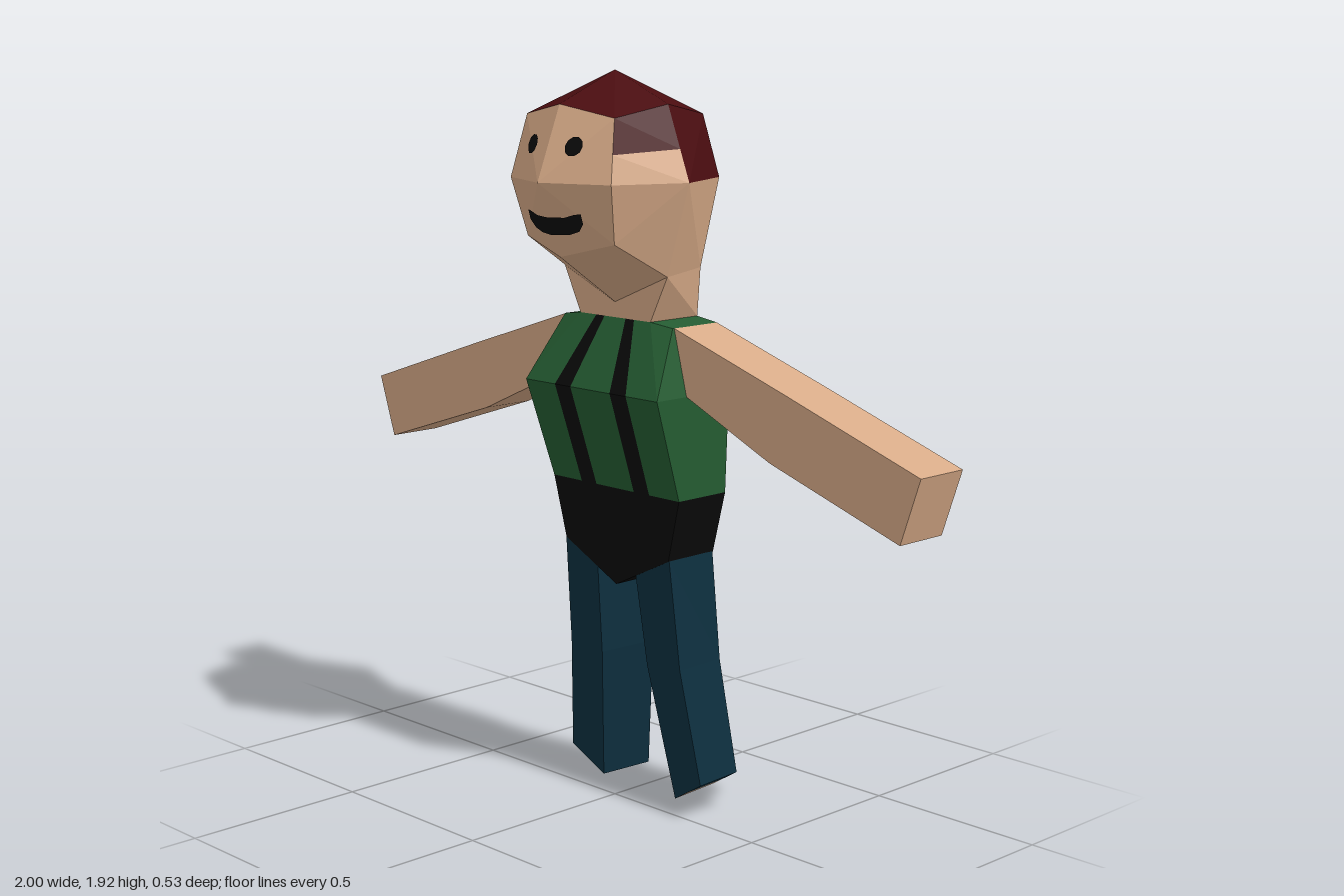
import * as THREE from 'three';

const paint = (name, color) => {
  const m = new THREE.MeshStandardMaterial({ color });
  m.name = name;
  return m;
};

// Orders a polygon's corners so that it faces away from a centre point
function orient(poly, c) {
  const v = poly.map(p => new THREE.Vector3(...p));
  const n = new THREE.Vector3();
  for (let i = 1; i < v.length - 1; i++) {
    n.add(v[i].clone().sub(v[0]).cross(v[i + 1].clone().sub(v[0])));
  }
  return n.dot(v[0].clone().sub(new THREE.Vector3(...c))) < 0 ? [poly[0], ...poly.slice(1).reverse()] : poly;
}
const outward = (polys, c) => polys.map(p => orient(p, c));
const mirror = polys => polys.map(p => {
  const q = p.map(([x, y, z]) => [-x, y, z]);
  return [q[0], ...q.slice(1).reverse()];
});
const both = polys => [...polys, ...mirror(polys)];
const lerp = (a, b, t) => a.map((v, i) => v + (b[i] - v) * t);

// Flat-shaded mesh from fans of corners
function facets(name, material, polys) {
  const pos = [];
  for (const p of polys) {
    for (let i = 1; i < p.length - 1; i++) pos.push(...p[0], ...p[i], ...p[i + 1]);
  }
  const g = new THREE.BufferGeometry();
  g.setAttribute('position', new THREE.Float32BufferAttribute(pos, 3));
  g.computeVertexNormals();
  const mesh = new THREE.Mesh(g, material);
  mesh.name = name;
  return mesh;
}

// Side walls between successive rings of corners
function loft(rings) {
  const out = [];
  for (let k = 0; k < rings.length - 1; k++) {
    const a = rings[k], b = rings[k + 1], all = [...a, ...b];
    const c = [0, 1, 2].map(i => all.reduce((s, p) => s + p[i], 0) / all.length);
    a.forEach((p, i) => {
      const j = (i + 1) % a.length;
      out.push(orient([p, a[j], b[j], b[i]], c));
    });
  }
  return out;
}

export function createModel() {
  const skin = paint('skin', 0xd8ab88);
  const hair = paint('hair', 0x4a0d10);
  const green = paint('green shirt', 0x255c32);
  const black = paint('black', 0x0a0a0a);
  const navy = paint('navy trousers', 0x0e3040);
  const model = new THREE.Group();
  model.name = 'figure';

  // Head corners for the left half: F front, B back, S side, T top, L low
  const T = [0, 1.92, 0], FT = [0, 1.84, 0.19], BT = [0, 1.84, -0.19], ST = [0.19, 1.84, 0];
  const FTS = [0.16, 1.81, 0.155], BTS = [0.16, 1.81, -0.155];
  const F = [0, 1.65, 0.265], FS = [0.185, 1.65, 0.19], S = [0.265, 1.65, 0];
  const BS = [0.185, 1.65, -0.19], B = [0, 1.65, -0.265];
  const FL = [0, 1.46, 0.19], FLS = [0.16, 1.5, 0.155], SL = [0.19, 1.41, 0];
  const throat = [0, 1.33, 0], BLS = [0.155, 1.42, -0.155], BL = [0, 1.4, -0.19];
  const hairF = lerp(FS, FTS, 0.45), hairS = lerp(S, ST, 0.43);
  const headCentre = [0, 1.62, 0];

  model.add(facets('hair', hair, both(outward([
    [T, FT, FTS, ST], [T, ST, BTS, BT],
    [hairS, hairF, FTS, ST],
    [S, ST, BTS, BS], [B, BS, BTS, BT],
  ], headCentre))));
  model.add(facets('head', skin, both(outward([
    [F, FS, FTS, FT], [F, FS, FLS, FL],
    [S, FS, hairF, hairS], [S, FS, FLS, SL],
    [S, SL, BLS, BS], [B, BS, BLS, BL],
    [FL, FLS, SL, throat],
  ], headCentre))));

  // Neck
  const neck = [[0, 1.29, 0], [0.13, 1.29, 0], [0.13, 1.29, -0.17], [0, 1.29, -0.2]];
  model.add(facets('neck', skin, both(outward([
    [throat, SL, neck[1], neck[0]],
    [SL, BLS, neck[2], neck[1]],
    [BLS, BL, neck[3], neck[2]],
  ], [0, 1.36, -0.1]))));

  // Eyes and mouth lie just proud of the faceted face
  const onFace = (x, y) => {
    const u = Math.abs(x), v = Math.abs(y - 1.65);
    return [x, y, 0.271 - 0.4 * Math.max(u, v) - 0.3 * Math.min(u, v)];
  };
  const eye = [];
  for (let i = 0; i < 10; i++) {
    const a = i * Math.PI / 5;
    eye.push(onFace(0.075 + 0.024 * Math.cos(a), 1.74 + 0.024 * Math.sin(a)));
  }
  model.add(facets('leftEye', black, [eye]), facets('rightEye', black, mirror([eye])));
  const lips = [[0, 1.563, 1.517], [0.05, 1.564, 1.52], [0.08, 1.573, 1.53], [0.097, 1.575, 1.55]];
  const mouth = [];
  for (let i = 0; i < lips.length - 1; i++) {
    const [x0, t0, b0] = lips[i], [x1, t1, b1] = lips[i + 1];
    mouth.push([onFace(x0, b0), onFace(x1, b1), onFace(x1, t1), onFace(x0, t0)]);
  }
  model.add(facets('mouth', black, both(mouth)));

  // Torso corners at collar, chest, waist and hip: front middle, front side, back side, back middle
  const shoulderF = [0.2, 1.28, -0.01], shoulderB = [0.2, 1.28, -0.17];
  const rings = [
    neck,
    [[0, 1.11, 0.09], [0.245, 1.11, 0.09], [0.245, 1.11, -0.17], [0, 1.11, -0.2]],
    [[0, 0.84, 0], [0.235, 0.84, 0], [0.235, 0.84, -0.17], [0, 0.84, -0.2]],
    [[0, 0.58, -0.005], [0.193, 0.675, -0.005], [0.193, 0.675, -0.17], [0, 0.58, -0.195]],
  ];
  const bodyCentre = [0, 1, -0.08];
  const shirt = [], stripes = [];
  const cuts = [0, 0.3, 0.54, 1];
  for (let k = 0; k < 2; k++) {
    const a = rings[k], b = rings[k + 1];
    for (const [m, s] of [[0, 1], [3, 2]]) {
      for (let i = 0; i < 3; i++) {
        const [t, u] = [cuts[i], cuts[i + 1]];
        (i === 1 ? stripes : shirt).push([
          lerp(a[m], a[s], t), lerp(a[m], a[s], u), lerp(b[m], b[s], u), lerp(b[m], b[s], t)]);
      }
    }
  }
  const [, chest, waist, hip] = rings;
  shirt.push(
    [chest[1], chest[2], waist[2], waist[1]],
    [neck[1], shoulderF, chest[1]],
    [neck[2], shoulderB, chest[2]],
    [shoulderF, shoulderB, chest[2], chest[1]],
    [neck[1], shoulderF, shoulderB, neck[2]],
  );
  model.add(facets('shirt', green, both(outward(shirt, bodyCentre))));
  model.add(facets('shirtStripes', black, both(outward(stripes, bodyCentre))));
  model.add(facets('shorts', black, both(outward([
    [waist[0], waist[1], hip[1], hip[0]],
    [waist[1], waist[2], hip[2], hip[1]],
    [waist[2], waist[3], hip[3], hip[2]],
    hip,
  ], bodyCentre))));

  // Arms, bent slightly at the elbow
  const armRing = (xt, yt, xb, yb) => [[xt, yt, -0.015], [xt, yt, -0.17], [xb, yb, -0.17], [xb, yb, -0.015]];
  const armRings = [armRing(0.2, 1.28, 0.245, 1.11), armRing(0.58, 1.156, 0.53, 0.982), armRing(1, 1.015, 0.943, 0.847)];
  const arm = [...loft(armRings), orient(armRings[2], [0.5, 1.1, -0.1])];
  model.add(facets('leftArm', skin, arm), facets('rightArm', skin, mirror(arm)));

  // Legs: outer front, outer back, inner back, inner front at hip, knee and ankle
  const legRings = [
    [[0.195, 0.676, -0.006], [0.193, 0.676, -0.168], [0.06, 0.612, -0.188], [0.072, 0.616, -0.006]],
    [[0.207, 0.38, -0.035], [0.2, 0.38, -0.192], [0.073, 0.37, -0.215], [0.086, 0.37, -0.035]],
    [[0.246, 0.066, -0.075], [0.235, 0.066, -0.225], [0.125, 0, -0.25], [0.138, 0, -0.09]],
  ];
  const [of, ob, ib, inf] = legRings[2];
  const soleF = lerp(of, inf, 0.55), soleB = lerp(ob, ib, 0.55);
  const above = [0.18, 0.5, -0.15];
  const leg = [...loft(legRings), orient([of, ob, soleB, soleF], above)];
  const sole = [orient([soleF, soleB, ib, inf], above)];
  model.add(facets('leftLeg', navy, leg), facets('rightLeg', navy, mirror(leg)));
  model.add(facets('leftSole', skin, sole), facets('rightSole', skin, mirror(sole)));

  return model;
}
